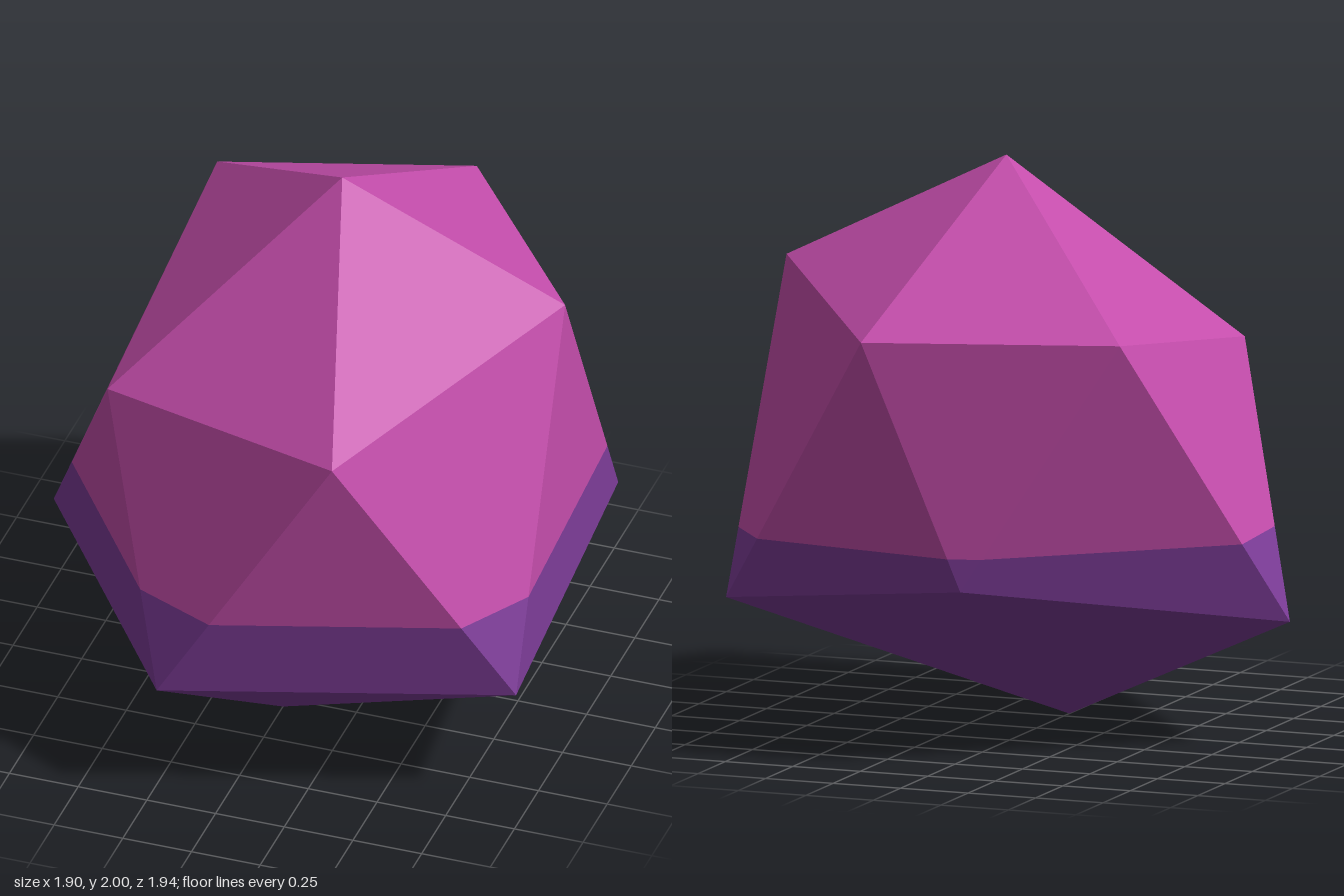
import * as THREE from 'three';

// Corners of the irregular twenty-sided rock; lower[i] sits between upper[i] and upper[i + 1]
const top = [0.1, 2, -0.03];
const upper = [[0.89, 1.61, -0.09], [0.385, 1.43, 0.89], [-0.565, 1.32, 0.51], [-0.59, 1.49, -0.7], [0.26, 1.49, -0.97]];
const lower = [[0.95, 0.44, 0.59], [-0.225, 0.44, 0.97], [-0.95, 0.44, -0.03], [-0.06, 0.62, -0.85], [0.88, 0.51, -0.67]];
const bottom = [0, 0, 0.3];
const bandHeight = 0.735; // where the two colours meet

// Keeps the part of a polygon above (sign 1) or below (sign -1) the colour line
function clip(face, sign) {
  const kept = [];
  face.forEach((a, i) => {
    const b = face[(i + 1) % face.length];
    const da = sign * (a[1] - bandHeight);
    const db = sign * (b[1] - bandHeight);
    if (da >= 0) kept.push(a);
    if (da * db < 0) kept.push(a.map((v, k) => v + (b[k] - v) * da / (da - db)));
  });
  return kept;
}

// Flat-shaded shell made of all the clipped faces
function shell(faces, sign, material, name) {
  const positions = [];
  for (const face of faces) {
    const p = clip(face, sign);
    for (let i = 1; i + 1 < p.length; i++) positions.push(...p[0], ...p[i], ...p[i + 1]);
  }
  const geometry = new THREE.BufferGeometry();
  geometry.setAttribute('position', new THREE.Float32BufferAttribute(positions, 3));
  geometry.computeVertexNormals();
  const mesh = new THREE.Mesh(geometry, material);
  mesh.name = name;
  return mesh;
}

export function createModel() {
  const pink = new THREE.MeshStandardMaterial({ color: 0xc44dab });
  pink.name = 'orchid pink';
  const purple = new THREE.MeshStandardMaterial({ color: 0x7d3c98 });
  purple.name = 'deep purple';

  const faces = [];
  for (let i = 0; i < 5; i++) {
    const j = (i + 1) % 5;
    faces.push(
      [top, upper[j], upper[i]],
      [upper[i], upper[j], lower[i]],
      [lower[i], upper[j], lower[j]],
      [lower[i], lower[j], bottom],
    );
  }

  const group = new THREE.Group();
  group.name = 'facetedRock';
  group.add(shell(faces, 1, pink, 'upperRock'), shell(faces, -1, purple, 'rockBase'));
  return group;
}
